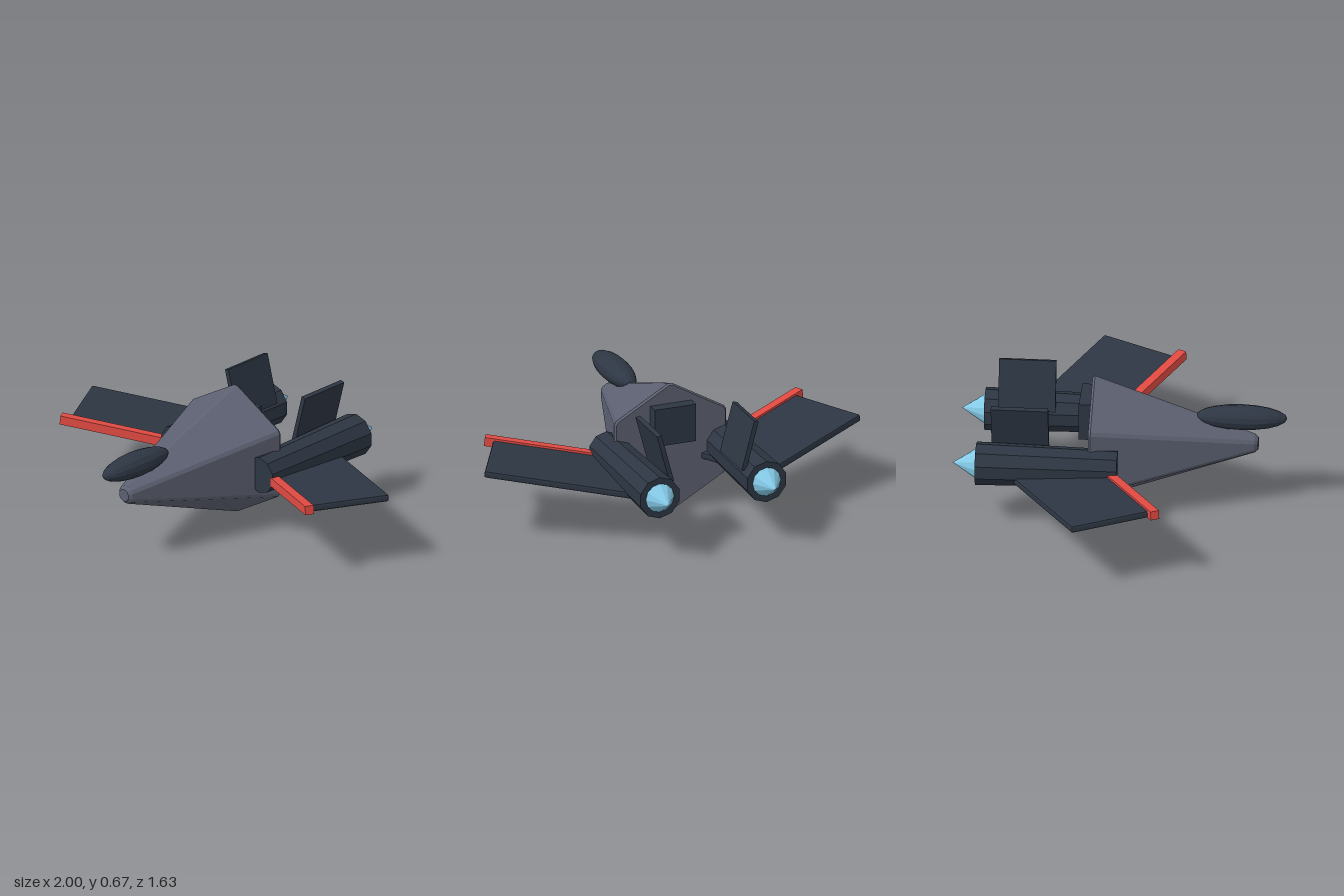
import * as THREE from 'three';
import { RoundedBoxGeometry } from 'three/addons/geometries/RoundedBoxGeometry.js';

const paint = (name, color) => {
  const m = new THREE.MeshStandardMaterial({ color, flatShading: true });
  m.name = name;
  return m;
};

// Six-sided tapered hull with narrow chamfers along its edges
function hullGeometry() {
  const rings = [[0.673, 0.035], [0.655, 0.053], [-0.135, 0.343], [-0.147, 0.335]].map(([z, r]) => {
    const corner = (k) => {
      const a = Math.PI / 2 + (k * Math.PI) / 3;
      return new THREE.Vector3(r * Math.cos(a), r * Math.sin(a), z);
    };
    const cut = Math.min(0.25, 0.012 / r);
    const points = [];
    for (let k = 0; k < 6; k++) {
      points.push(corner(k).lerp(corner(k - 1), cut), corner(k).lerp(corner(k + 1), cut));
    }
    return points;
  });
  const triangles = [];
  const n = 12;
  for (let j = 0; j < rings.length - 1; j++) {
    for (let i = 0; i < n; i++) {
      const a = rings[j][i], b = rings[j][(i + 1) % n];
      const c = rings[j + 1][(i + 1) % n], d = rings[j + 1][i];
      triangles.push(a, d, c, a, c, b);
    }
  }
  // Flat nose and tail caps
  const front = rings[0], back = rings[rings.length - 1];
  for (let i = 1; i < n - 1; i++) {
    triangles.push(front[0], front[i], front[i + 1], back[0], back[i + 1], back[i]);
  }
  const geometry = new THREE.BufferGeometry().setFromPoints(triangles);
  geometry.computeVertexNormals();
  return geometry;
}

export function createModel() {
  const model = new THREE.Group();
  model.name = 'spacecraft';
  const hullGrey = paint('hull grey', 0x5c6071);
  const darkSlate = paint('dark slate', 0x2d3643);
  const red = paint('red trim', 0xe04a42);
  const blue = paint('exhaust blue', 0x87ceeb);

  const add = (name, geometry, material, position, rotation = [0, 0, 0]) => {
    const mesh = new THREE.Mesh(geometry, material);
    mesh.name = name;
    mesh.position.set(...position);
    mesh.rotation.set(...rotation);
    model.add(mesh);
    return mesh;
  };

  add('hull', hullGeometry(), hullGrey, [0, 0.34, 0]);

  // Long faceted canopy over the nose
  const canopy = new THREE.SphereGeometry(1, 14, 10).rotateX(Math.PI / 2).scale(0.075, 0.06, 0.225);
  add('canopy', canopy, darkSlate, [0, 0.482, 0.59]);

  // Block on the hull's tail
  add('tailBlock', new THREE.BoxGeometry(0.22, 0.195, 0.08), darkSlate, [0, 0.478, -0.167]);

  // Paired engines, wings and fins
  const engine = new THREE.CylinderGeometry(0.094, 0.108, 0.7, 10).rotateX(Math.PI / 2);
  const exhaust = new THREE.ConeGeometry(0.076, 0.117, 12).rotateX(-Math.PI / 2);
  const wing = new RoundedBoxGeometry(0.735, 0.036, 0.45, 1, 0.01);
  const trim = new THREE.BoxGeometry(0.62, 0.045, 0.045);
  const fin = new THREE.BoxGeometry(0.024, 0.26, 0.283);
  for (const [side, s] of [['left', 1], ['right', -1]]) {
    const sweep = [0, -0.49 * s, 0.115 * s];
    add(side + 'Engine', engine, darkSlate, [0.284 * s, 0.32, -0.35]);
    add(side + 'Exhaust', exhaust, blue, [0.284 * s, 0.32, -0.757]);
    add(side + 'Wing', wing, darkSlate, [0.574 * s, 0.313, -0.142], sweep);
    add(side + 'WingTrim', trim, red, [0.565 * s, 0.331, 0.084], sweep);
    add(side + 'Fin', fin, darkSlate, [0.225 * s, 0.492, -0.488], [0, 0, -0.26 * s]);
  }
  return model;
}
